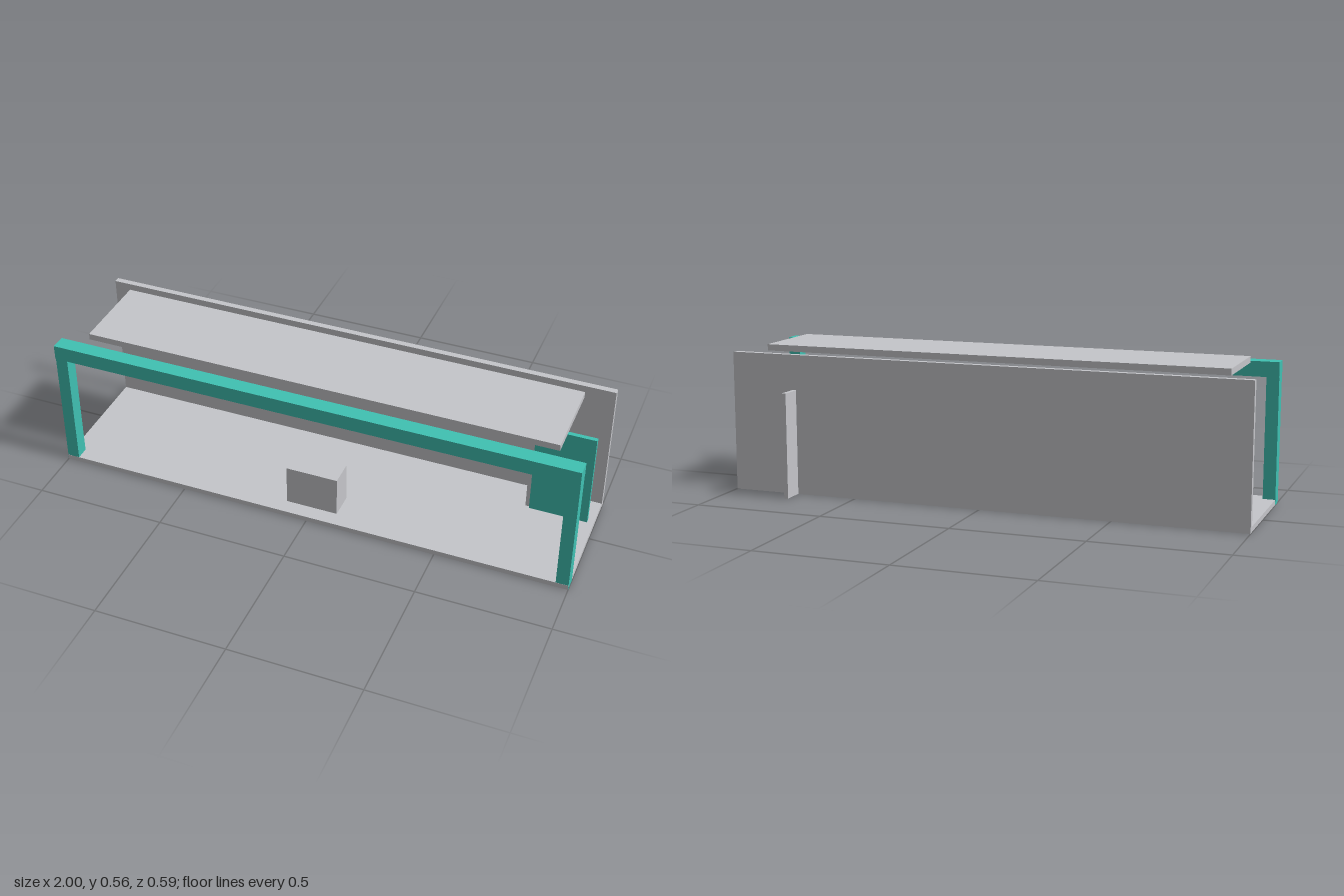
import * as THREE from 'three';

const grey = new THREE.MeshStandardMaterial({ color: 0xc5c6ca });
grey.name = 'light grey';
const teal = new THREE.MeshStandardMaterial({ color: 0x40c1b2 });
teal.name = 'teal';

// Box given by its [min, max] extent on each axis
function slab(name, material, [x0, x1], [y0, y1], [z0, z1]) {
  const mesh = new THREE.Mesh(new THREE.BoxGeometry(x1 - x0, y1 - y0, z1 - z0), material);
  mesh.position.set((x0 + x1) / 2, (y0 + y1) / 2, (z0 + z1) / 2);
  mesh.name = name;
  return mesh;
}

export function createModel() {
  const group = new THREE.Group();
  group.name = 'openStall';

  // Shell: floor, rear wall and floating roof panel
  group.add(
    slab('floor', grey, [-0.9995, 0.9995], [0.0005, 0.02], [-0.2095, 0.292]),
    slab('backWall', grey, [-1, 1], [0, 0.534], [-0.21, -0.187]),
    slab('roofPanel', grey, [-0.9, 0.9], [0.532, 0.556], [-0.122, 0.204]),
  );

  // Front frame: two posts under a slightly deeper beam
  const frame = new THREE.Group();
  frame.name = 'frontFrame';
  for (const [name, x] of [['leftPost', [0.953, 1]], ['rightPost', [-1, -0.953]]]) {
    frame.add(slab(name, teal, x, [0, 0.477], [0.24, 0.2915]));
  }
  frame.add(slab('topBeam', teal, [-1, 1], [0.477, 0.534], [0.237, 0.295]));
  group.add(frame);

  // Counter block near the front
  group.add(slab('counter', grey, [-0.1, 0.1], [0.02, 0.178], [0.134, 0.234]));

  // Corner partition: a teal screen and a fin passing through the rear wall
  group.add(
    slab('screenPanel', teal, [0.753, 0.975], [0, 0.4], [-0.08, -0.063]),
    slab('finPanel', grey, [0.737, 0.753], [0, 0.4], [-0.293, -0.072]),
  );
  return group;
}
